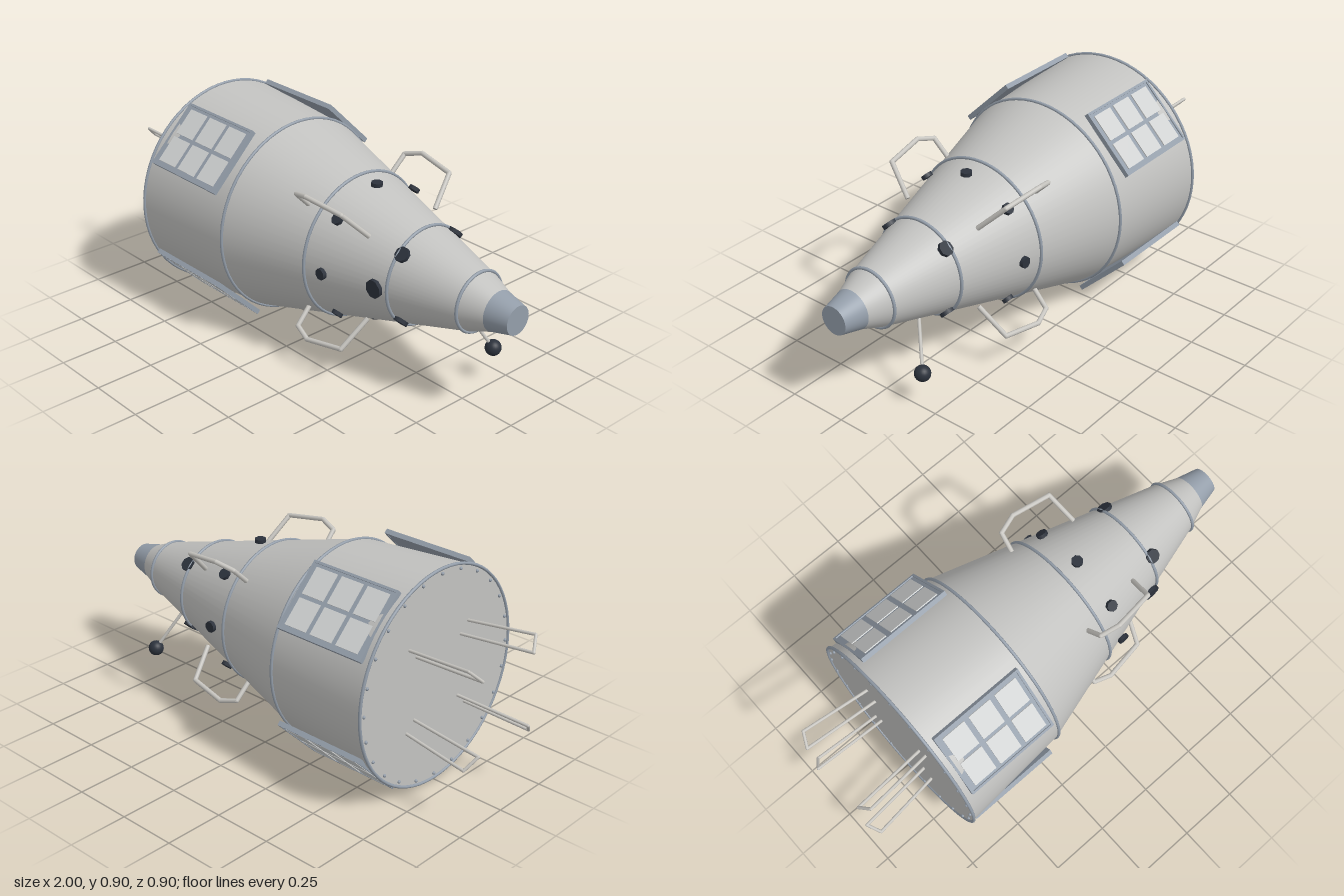
import * as THREE from 'three';

const mat = (name, color) => {
  const m = new THREE.MeshStandardMaterial({ color });
  m.name = name;
  return m;
};

export function createModel() {
  const hull = mat('hull grey', 0xc2c2c0);
  const slate = mat('slate trim', 0x949eaa);
  const cell = mat('panel cell', 0xd0d2d2);
  const bar = mat('bare metal', 0xc8c6c1);
  const dark = mat('dark glass', 0x2c323c);

  const model = new THREE.Group();
  model.name = 'spacecraft';
  // The long axis runs along x; inside this group it passes through the origin.
  const craft = new THREE.Group();
  craft.name = 'craft';
  craft.position.y = 0.452;
  model.add(craft);

  const add = (parent, name, geometry, material, x = 0, y = 0, z = 0) => {
    const m = new THREE.Mesh(geometry, material);
    m.name = name;
    m.position.set(x, y, z);
    parent.add(m);
    return m;
  };

  // Frame turned about the long axis: local +y points outward from the hull
  const spoke = (name, angle) => {
    const g = new THREE.Group();
    g.name = name;
    g.rotation.x = angle;
    craft.add(g);
    return g;
  };

  // Conical section of the hull between two stations
  const section = (name, x0, r0, x1, r1, material) => {
    const m = add(craft, name, new THREE.CylinderGeometry(r1, r0, x1 - x0, 64), material, (x0 + x1) / 2);
    m.rotation.z = -Math.PI / 2;
  };

  // Straight rod between two points
  const rod = (parent, name, a, b, radius, material) => {
    const d = b.clone().sub(a);
    const m = add(parent, name, new THREE.CylinderGeometry(radius, radius, d.length(), 8), material);
    m.position.copy(a).add(b).multiplyScalar(0.5);
    m.quaternion.setFromUnitVectors(new THREE.Vector3(0, 1, 0), d.normalize());
  };

  // Bent bar through [x, r] points, with a ball filling each elbow
  const bentBar = (parent, name, pts, radius) => {
    const v = pts.map(([x, y]) => new THREE.Vector3(x, y, 0));
    for (let i = 0; i < v.length - 1; i++) {
      rod(parent, name, v[i], v[i + 1], radius, bar);
      if (i > 0) add(parent, name + 'Elbow', new THREE.SphereGeometry(radius, 8, 6), bar, v[i].x, v[i].y);
    }
  };

  // Hull
  section('rearSkirt', -0.675, 0.443, -0.2, 0.409, hull);
  section('mainCone', -0.2, 0.409, 0.81, 0.119, hull);
  section('noseCone', 0.81, 0.119, 0.905, 0.082, hull);
  section('noseTip', 0.905, 0.082, 1, 0.059, slate);

  // Seam rings
  for (const [x, r] of [[-0.675, 0.445], [-0.2, 0.411], [0.175, 0.304], [0.53, 0.203], [0.81, 0.122]]) {
    add(craft, 'seamRing', new THREE.TorusGeometry(r, 0.0065, 8, 64), slate, x).rotation.y = Math.PI / 2;
  }

  // Rivets around the rear plate
  for (let i = 0; i < 24; i++) {
    const a = (i / 24) * Math.PI * 2;
    add(craft, 'rivet', new THREE.SphereGeometry(0.007, 8, 6), slate, -0.677, 0.425 * Math.cos(a), 0.425 * Math.sin(a));
  }

  // Portholes: radial octagonal discs
  const porthole = (x, r, radius, angle) => {
    const g = spoke('porthole', angle);
    const geo = new THREE.CylinderGeometry(radius, radius, 0.016, 8);
    geo.rotateY(Math.PI / 8);
    add(g, 'portholeGlass', geo, dark, x, r - 0.008);
  };
  for (let i = 0; i < 8; i++) porthole(0.26, 0.298, 0.024, (i * Math.PI) / 4);
  porthole(0.48, 0.228, 0.038, Math.PI / 2);

  // Parts repeated on the four diagonals
  for (let i = 0; i < 4; i++) {
    const angle = Math.PI / 4 + (i * Math.PI) / 2;
    porthole(0.547, 0.208, 0.031, angle);

    // Solar panel: plate, raised rim and six cells
    const panel = spoke('solarPanel', angle);
    add(panel, 'panelPlate', new THREE.BoxGeometry(0.41, 0.014, 0.294), slate, -0.44, 0.43);
    for (const s of [-1, 1]) {
      add(panel, 'panelRim', new THREE.BoxGeometry(0.41, 0.02, 0.01), slate, -0.44, 0.432, s * 0.142);
      add(panel, 'panelRim', new THREE.BoxGeometry(0.01, 0.02, 0.294), slate, -0.44 + s * 0.2, 0.432);
      for (let c = -1; c <= 1; c++) {
        add(panel, 'panelCell', new THREE.BoxGeometry(0.104, 0.008, 0.116), cell, -0.439 + c * 0.126, 0.4375, s * 0.066);
      }
    }

    // Grab rail and rear loop antenna
    bentBar(spoke('grabRail', angle), 'railBar',
      [[0.115, 0.315], [0.12, 0.408], [0.197, 0.437], [0.37, 0.405], [0.404, 0.25]], 0.01);
    bentBar(spoke('rearAntenna', angle), 'antennaBar',
      [[-0.67, 0.247], [-0.965, 0.286], [-0.993, 0.218], [-0.67, 0.187]], 0.0065);
  }

  // Ball probe on a stalk
  const ball = new THREE.Vector3(0.737, -0.302, -0.18);
  rod(craft, 'probeStalk', new THREE.Vector3(0.65, -0.125, -0.09), ball, 0.007, bar);
  add(craft, 'probeBall', new THREE.SphereGeometry(0.033, 24, 16), dark, ball.x, ball.y, ball.z);

  return model;
}
